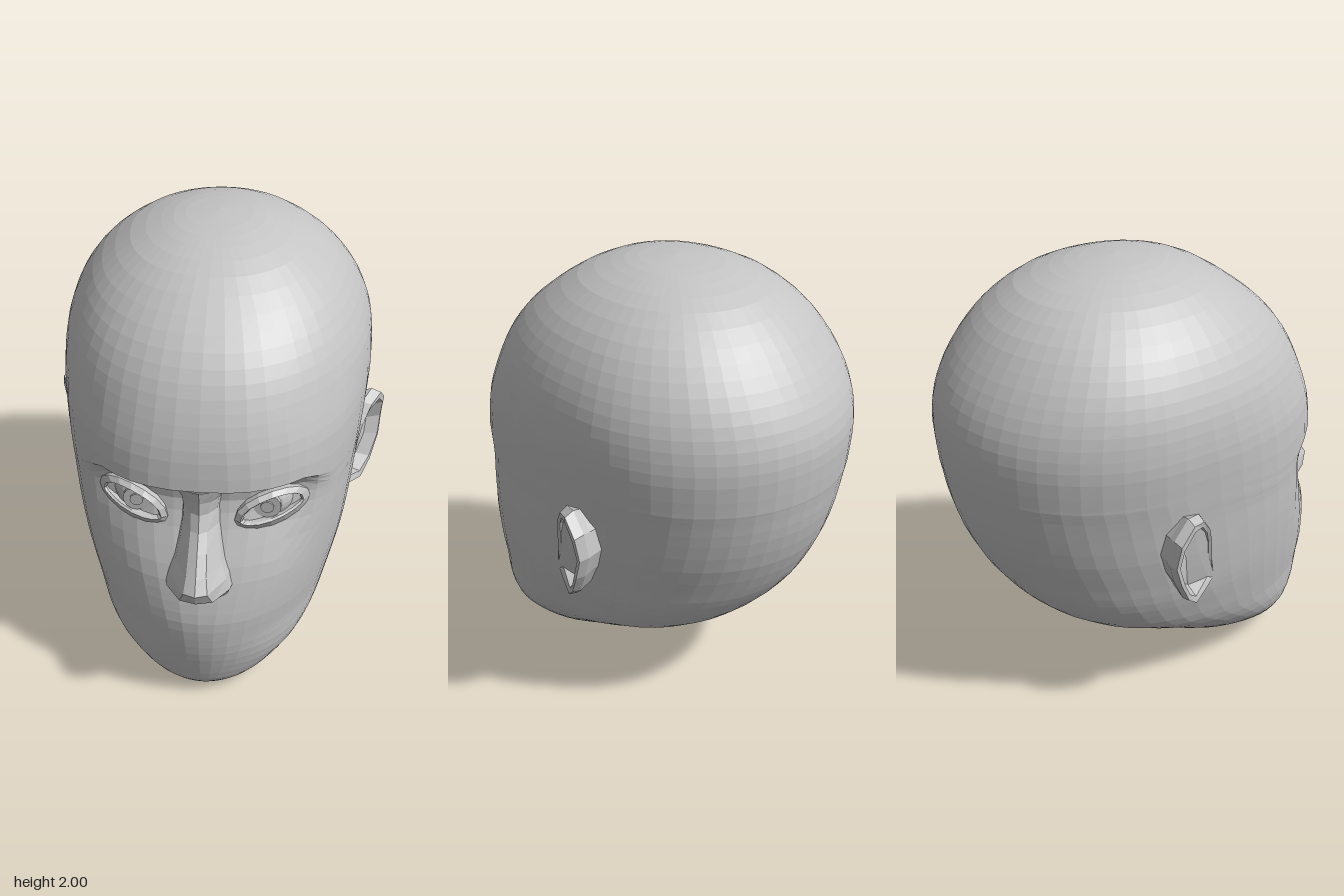
import * as THREE from 'three';

const { smoothstep } = THREE.MathUtils;

// Skin a list of point rings; each ring may be closed or open
function loft(rings, closed = true) {
  const n = rings[0].length, pos = [], idx = [];
  rings.forEach(r => r.forEach(p => pos.push(...p)));
  for (let i = 0; i < rings.length - 1; i++) {
    for (let j = 0; j < (closed ? n : n - 1); j++) {
      const k = (j + 1) % n;
      const a = i * n + j, b = i * n + k, c = b + n, d = a + n;
      idx.push(a, b, c, a, c, d);
    }
  }
  const g = new THREE.BufferGeometry();
  g.setAttribute('position', new THREE.Float32BufferAttribute(pos, 3));
  g.setIndex(idx);
  const flat = g.toNonIndexed();
  flat.computeVertexNormals();
  return flat;
}

// Skull levels: height, half width, front z, back z, z of the widest point
const LEVELS = [
  [0, 0, 0.56, 0.56, 0.56], [0.015, 0.13, 0.68, 0.4, 0.56], [0.05, 0.23, 0.73, 0.23, 0.52],
  [0.1, 0.32, 0.76, 0.09, 0.46], [0.2, 0.43, 0.79, -0.08, 0.36], [0.3, 0.5, 0.815, -0.26, 0.24],
  [0.4, 0.545, 0.83, -0.51, 0.12], [0.5, 0.575, 0.835, -0.645, 0.06], [0.6, 0.602, 0.82, -0.73, 0],
  [0.7, 0.62, 0.8, -0.795, -0.04], [0.85, 0.64, 0.785, -0.865, -0.1], [1, 0.655, 0.775, -0.91, -0.14],
  [1.1, 0.666, 0.77, -0.928, -0.17], [1.15, 0.671, 0.77, -0.937, -0.19], [1.17, 0.673, 0.77, -0.94, -0.19],
  [1.3, 0.685, 0.755, -0.95, -0.2], [1.4, 0.684, 0.73, -0.945, -0.2], [1.5, 0.672, 0.69, -0.915, -0.2],
  [1.6, 0.64, 0.635, -0.862, -0.2], [1.7, 0.588, 0.555, -0.79, -0.19], [1.8, 0.51, 0.44, -0.7, -0.17],
  [1.9, 0.385, 0.295, -0.565, -0.15], [1.96, 0.25, 0.15, -0.41, -0.14], [1.987, 0.145, 0.025, -0.28, -0.13],
  [2, 0, -0.13, -0.13, -0.13],
];

// Depth of the eye sockets: sharp under the brow, fading into the cheeks
function socket(x, y) {
  if (y >= 1.17) return 0;
  const under = Math.pow(Math.min(1, (1.17 - y) / 0.08), 0.6);
  return 0.1 * under * smoothstep(y, 0.66, 1.07) * (1 - smoothstep(Math.abs(x), 0.34, 0.56));
}

function headGeometry() {
  const spline = f => new THREE.CatmullRomCurve3(LEVELS.map(f), false, 'catmullrom', 0.5);
  const size = spline(l => new THREE.Vector3(l[1], l[2], l[3]));
  const place = spline(l => new THREE.Vector3(l[0], l[4], 0));
  const steps = (LEVELS.length - 1) * 2, cols = 52, rings = [];
  for (let i = 0; i <= steps; i++) {
    const { x: w, y: front, z: back } = size.getPoint(i / steps);
    const { x: y, y: zc } = place.getPoint(i / steps);
    // Cheeks and brow are squarer in section than the chin and crown
    const facePower = 1.95 + 0.5 * smoothstep(y, 0.35, 0.95) - 0.25 * smoothstep(y, 1.17, 1.5);
    // Jaw corners square off the underside
    const backPower = 2 + 0.3 * smoothstep(y, 0.02, 0.2) * (1 - smoothstep(y, 0.4, 0.75));
    const nearBrow = Math.exp(-(((y - 1.14) / 0.1) ** 2));
    const ring = [];
    for (let j = 0; j < cols; j++) {
      const a = (j / cols) * Math.PI * 2, s = Math.sin(a), c = Math.cos(a);
      const e = 2 / (c > 0 ? facePower : backPower);
      const x = w * Math.sign(s) * Math.pow(Math.abs(s), e);
      const reach = Math.pow(Math.abs(c), e);
      const z = c > 0 ? zc + (front - zc) * reach - socket(x, y) : zc - (zc - back) * reach;
      // The brow line drops at its outer ends
      const drop = 0.07 * nearBrow * smoothstep(Math.abs(x), 0.42, 0.55) * smoothstep(c, 0, 0.5);
      ring.push([x, y - drop, z]);
    }
    rings.push(ring);
  }
  return loft(rings);
}

// Nose rows from below: height, ridge half width, ridge z, base half width, base z
function noseGeometry() {
  const rows = [
    [0.67, 0.04, 0.7, 0.08, 0.68], [0.64, 0.05, 0.815, 0.1, 0.7], [0.66, 0.065, 0.865, 0.14, 0.73],
    [0.7, 0.07, 0.915, 0.155, 0.72], [0.76, 0.05, 0.942, 0.14, 0.7], [0.82, 0.042, 0.9, 0.118, 0.68],
    [0.9, 0.038, 0.84, 0.1, 0.66], [0.97, 0.035, 0.785, 0.088, 0.64], [1.04, 0.036, 0.752, 0.083, 0.64],
    [1.1, 0.045, 0.75, 0.088, 0.66], [1.16, 0.065, 0.76, 0.115, 0.69],
  ];
  return loft(rows.map(([y, rw, rz, bw, bz]) => {
    const mw = rw + (bw - rw) * 0.75, mz = bz + (rz - bz) * 0.5;
    return [[-bw, y, bz], [-mw, y, mz], [-rw, y, rz - 0.01], [0, y, rz + 0.008],
      [rw, y, rz - 0.01], [mw, y, mz], [bw, y, bz]];
  }), false);
}

// Ear: thick flared rim around a hollow bowl, outline given as z, y
function earGeometry() {
  const outline = [[0.01, 0.66], [-0.06, 0.63], [-0.13, 0.605], [-0.2, 0.67], [-0.265, 0.79], [-0.3, 0.9],
    [-0.28, 1.01], [-0.2, 1.085], [-0.12, 1.06], [-0.06, 0.98], [-0.035, 0.9], [-0.02, 0.78]];
  const cz = -0.14, cy = 0.85;
  const ring = (k, dx, fixed) => outline.map(([z, y]) => {
    const rim = 0.615 + 0.5 * Math.min(-z, 0.25) + 0.07 * (y - 0.62);
    return [fixed ?? rim + dx, cy + (y - cy) * k, cz + (z - cz) * k];
  });
  return loft([ring(0.86, 0, 0.56), ring(0.95, -0.085), ring(1, -0.045), ring(0.93, 0),
    ring(0.8, -0.005), ring(0.7, -0.07), ring(0, 0, 0.62)]);
}

// Eyelids: almond band following the curve of the face
function lidGeometry() {
  const almond = (half, top, bottom, dz) => Array.from({ length: 16 }, (_, i) => {
    const a = (i / 16) * Math.PI * 2, c = Math.cos(a), s = Math.sin(a);
    const x = 0.295 + half * c;
    const y = 0.998 + 0.025 * c + (s > 0 ? top : bottom) * s;
    return [x, y, 0.63 - 0.45 * (x - 0.295) + 0.03 * s * s + dz];
  });
  return loft([almond(0.15, 0.108, 0.082, -0.1), almond(0.155, 0.108, 0.075, -0.01),
    almond(0.13, 0.09, 0.032, 0.015), almond(0.12, 0.082, 0.025, 0.005), almond(0.118, 0.08, 0.023, -0.06)]);
}

export function createModel() {
  const skin = new THREE.MeshStandardMaterial({ color: 0xc4c4c4 });
  skin.name = 'clayGrey';
  skin.flatShading = true;
  skin.side = THREE.DoubleSide;

  const model = new THREE.Group();
  model.name = 'head';
  const add = (parent, name, geometry) => {
    const mesh = new THREE.Mesh(geometry, skin);
    mesh.name = name;
    parent.add(mesh);
    return mesh;
  };

  add(model, 'skull', headGeometry());
  add(model, 'nose', noseGeometry());

  // Paired features, mirrored across the face
  for (const side of [1, -1]) {
    const half = new THREE.Group();
    half.name = side > 0 ? 'leftFeatures' : 'rightFeatures';
    half.scale.x = side;
    add(half, 'ear', earGeometry());
    add(half, 'eyelids', lidGeometry());

    const eye = new THREE.Group();
    eye.name = 'eye';
    eye.position.set(0.275, 1.03, 0.545);
    add(eye, 'eyeball', new THREE.SphereGeometry(0.11, 20, 14));
    for (const [name, r, z] of [['iris', 0.058, 0.102], ['pupil', 0.028, 0.11]]) {
      add(eye, name, new THREE.CylinderGeometry(r, r, 0.02, 16).rotateX(Math.PI / 2)).position.z = z;
    }
    half.add(eye);
    model.add(half);
  }
  return model;
}
